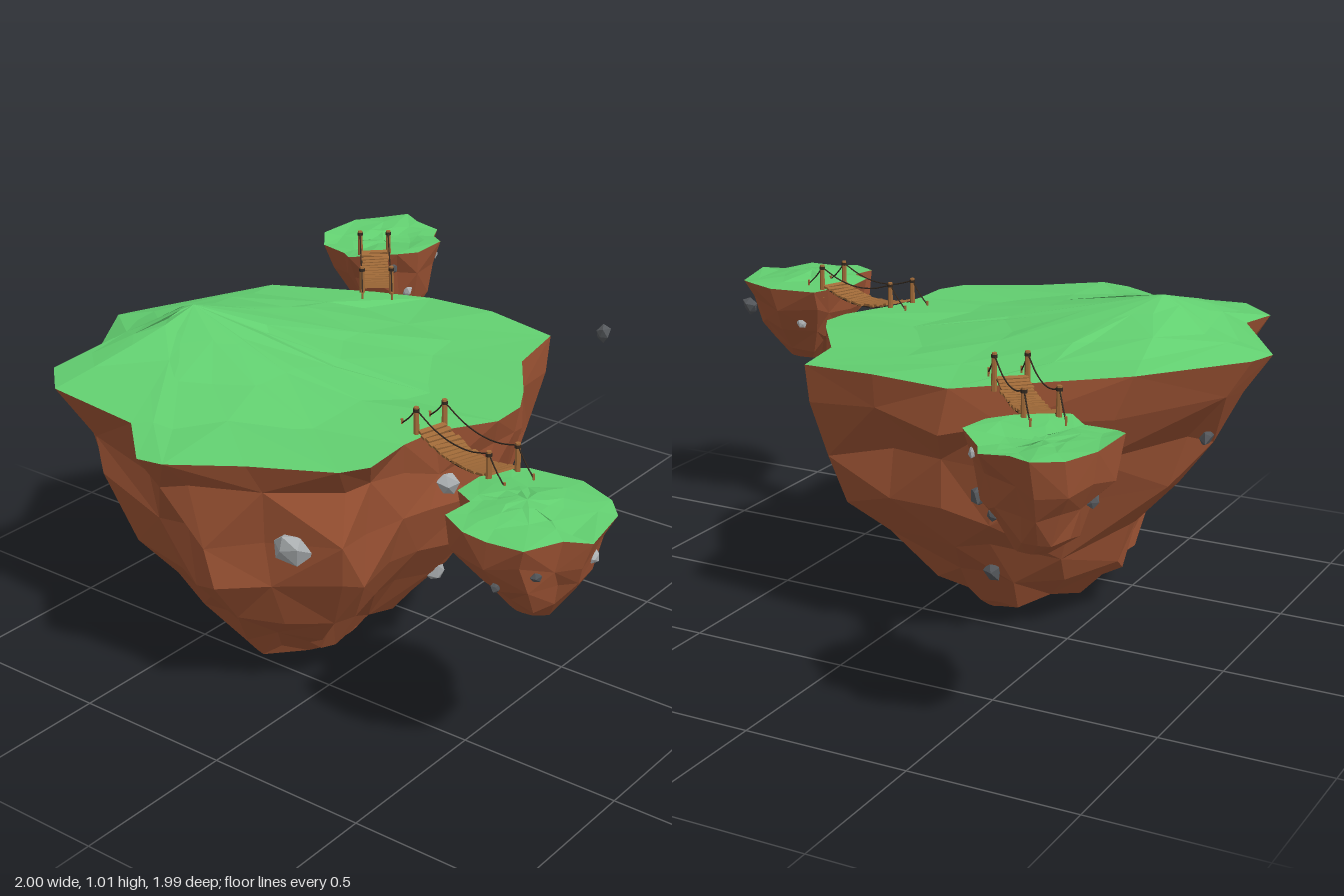
import * as THREE from 'three';

let seed = 7;
const rnd = () => {
  seed = (seed * 16807) % 2147483647;
  return (seed / 2147483647) * 2 - 1; // -1..1
};

const mat = (color, extra = {}) => new THREE.MeshStandardMaterial({ color, flatShading: true, ...extra });
const grassMat = mat(0x62cf70), earthMat = mat(0xa05535);
const lightRock = mat(0xaaaeb0), darkRock = mat(0x55585c);
const woodMat = mat(0xa06a38), ropeMat = mat(0x33281f);

function add(parent, name, geometry, material) {
  const mesh = new THREE.Mesh(geometry, material);
  mesh.name = name;
  parent.add(mesh);
  return mesh;
}

// Skin a list of closed rings, ordered from top to bottom, as separate facets
function loft(rings) {
  const n = rings[0].length, pos = [];
  for (let i = 0; i + 1 < rings.length; i++) {
    const a = rings[i], b = rings[i + 1];
    for (let j = 0; j < n; j++) {
      const k = (j + 1) % n;
      const quad = (i + j) % 2
        ? [a[j], a[k], b[j], a[k], b[k], b[j]]
        : [a[j], a[k], b[k], a[j], b[k], b[j]];
      quad.forEach(p => pos.push(...p));
    }
  }
  const g = new THREE.BufferGeometry();
  g.setAttribute('position', new THREE.Float32BufferAttribute(pos, 3));
  g.computeVertexNormals();
  return g;
}

// Boulder: a dented icosahedron
function boulder(parent, p, size, material) {
  const g = new THREE.IcosahedronGeometry(1, 0);
  const q = g.attributes.position;
  for (let i = 0; i < q.count; i++) {
    const x = q.getX(i), y = q.getY(i), z = q.getZ(i);
    const s = 0.85 + 0.2 * Math.sin(5 * x + 3 * y + 4 * z + size * 90);
    q.setXYZ(i, x * s, y * s, z * s);
  }
  g.computeVertexNormals();
  const m = add(parent, 'boulder', g, material);
  m.position.copy(p);
  m.scale.set(size, size * 1.15, size * 0.8);
  m.rotation.set(rnd(), rnd() * 3, rnd() * 0.5);
  return m;
}

// Island: outline [x, z], peak [x, z], height rule, lower levels [y, xMin, xMax, zMin, zMax],
// boulders [x, y, z, size, material] pushed onto the cliff
function island(name, { outline, peak, height, levels, rough, boulders }) {
  const group = new THREE.Group();
  group.name = name;
  const rim = outline.map(([x, z]) => [x, height(x, z) + rnd() * rough * 0.2, z]);

  // Grass: rim shrunk towards the peak
  const top = [0, 0.22, 0.45, 0.72].map(s => outline.map(([x, z]) => {
    const w = s ? rough * 0.6 : 0;
    const px = peak[0] + (x - peak[0]) * s + rnd() * w;
    const pz = peak[1] + (z - peak[1]) * s + rnd() * w;
    return [px, height(px, pz) + rnd() * w * 0.35, pz];
  }));
  add(group, 'grass', loft([...top, rim]), grassMat);

  // Cliff: rim fitted into each level's box and rounded off with depth
  const xs = outline.map(p => p[0]), zs = outline.map(p => p[1]);
  const box = [Math.min(...xs), Math.max(...xs), Math.min(...zs), Math.max(...zs)];
  const norm = (v, a, b) => (2 * v - a - b) / (b - a);
  const fit = (u, a, b) => (a + b + u * (b - a)) / 2;
  const below = levels.map(([y, x0, x1, z0, z1], i) => {
    const last = i === levels.length - 1;
    const round = 0.75 * (i + 1) / levels.length, r = last ? 0 : rough;
    return outline.map(([x, z]) => {
      const u = norm(x, box[0], box[1]), v = norm(z, box[2], box[3]);
      const k = 1 - round + round / Math.hypot(u, v) + Math.min(0, rnd()) * r * 2.5;
      return [fit(u * k, x0, x1) + rnd() * r * 0.3, y + rnd() * r, fit(v * k, z0, z1) + rnd() * r * 0.3];
    });
  });
  const [y, x0, x1, z0, z1] = levels[levels.length - 1];
  const tip = outline.map(() => [(x0 + x1) / 2, y - rough * 0.35, (z0 + z1) / 2]);
  const cliff = add(group, 'cliff', loft([rim, ...below, tip]), earthMat);

  // Boulders found by a ray from outside to the island's axis
  const cx = (x0 + x1) / 2, cz = (z0 + z1) / 2;
  for (const [bx, by, bz, size, m] of boulders) {
    const dir = new THREE.Vector3(cx - bx, 0, cz - bz).normalize();
    const from = new THREE.Vector3(bx, by, bz).addScaledVector(dir, -1);
    const hit = new THREE.Raycaster(from, dir).intersectObject(cliff)[0];
    boulder(group, hit ? hit.point : new THREE.Vector3(bx, by, bz), size, m);
  }
  return group;
}

// Rope bridge between two [x, z] points
function bridge(name, a, b, deckY, sag, planks) {
  const group = new THREE.Group();
  group.name = name;
  const dx = b[0] - a[0], dz = b[1] - a[1], len = Math.hypot(dx, dz), half = 0.047;
  group.position.set(a[0], deckY, a[1]);
  group.rotation.y = Math.atan2(dx, dz);
  const dip = (t, d) => -4 * d * t * (1 - t);

  for (let i = 0; i < planks; i++) {
    const t = (i + 0.5) / planks;
    const p = add(group, 'plank', new THREE.BoxGeometry(0.092 + rnd() * 0.007, 0.007, len / planks * 0.75), woodMat);
    p.position.set(rnd() * 0.003, dip(t, sag), t * len);
    p.rotation.set(Math.atan(4 * sag * (1 - 2 * t) / len), rnd() * 0.06, rnd() * 0.04);
  }
  const rope = (label, points, r) => add(group, label, new THREE.TubeGeometry(
    new THREE.CatmullRomCurve3(points.map(p => new THREE.Vector3(...p))), 14, r, 5), ropeMat);
  const steps = [0, 0.25, 0.5, 0.75, 1];
  for (const x of [-half, half]) {
    rope('handRope', steps.map(t => [x, 0.062 + dip(t, 0.035), t * len]), 0.0022);
    rope('deckRope', steps.map(t => [x * 0.85, -0.005 + dip(t, sag), t * len]), 0.0025);
    for (const [z, out] of [[0, -1], [len, 1]]) {
      const post = add(group, 'post', new THREE.CylinderGeometry(0.0075, 0.009, 0.11, 7), woodMat);
      post.position.set(x, 0.015, z);
      add(group, 'postBinding', new THREE.CylinderGeometry(0.0095, 0.0095, 0.009, 7), ropeMat).position.set(x, 0.06, z);
      rope('stayRope', [[x, 0.062, z], [x, 0.025, z + out * 0.035], [x, -0.005, z + out * 0.072]], 0.0022);
      const peg = add(group, 'peg', new THREE.CylinderGeometry(0.004, 0.003, 0.025, 5), woodMat);
      peg.position.set(x, -0.005, z + out * 0.072);
    }
  }
  return group;
}

export function createModel() {
  seed = 7;
  const model = new THREE.Group();
  model.name = 'floatingIslands';

  model.add(island('mainIsland', {
    outline: [[-0.32, -0.44], [-0.08, -0.44], [0.165, -0.405], [0.205, -0.19], [0.34, 0], [0.39, 0.09],
      [0.39, 0.2], [0.295, 0.37], [0.28, 0.49], [0.29, 0.65], [0.245, 0.73], [0.02, 0.85], [-0.16, 0.98],
      [-0.25, 0.985], [-0.4, 0.85], [-0.72, 0.83], [-0.84, 0.72], [-0.83, 0.53], [-1, 0.29], [-0.97, 0.2],
      [-0.76, -0.17], [-0.48, -0.35]],
    peak: [-0.635, 0.33],
    height: (x, z) => {
      const dx = x + 0.635, dz = z - 0.33;
      const t = Math.max(0, 1 - Math.hypot(dx / (dx < 0 ? 0.34 : 0.75), dz / 0.65));
      return 0.87 - 0.015 * x - 0.01 * z + 0.138 * t ** 1.3;
    },
    levels: [
      [0.75, -0.93, 0.375, -0.43, 0.93], [0.6, -0.83, 0.335, -0.38, 0.92], [0.45, -0.73, 0.28, -0.32, 0.86],
      [0.3, -0.62, 0.17, -0.21, 0.74], [0.17, -0.57, 0.04, -0.1, 0.63], [0.08, -0.46, -0.07, 0, 0.55],
      [0.012, -0.27, -0.13, 0.1, 0.42]],
    rough: 0.034,
    boulders: [[0.09, 0.59, 0.77, 0.066, lightRock], [0.28, 0.68, 0.31, 0.046, lightRock],
      [0.25, 0.5, -0.06, 0.036, darkRock], [0.15, 0.3, 0.18, 0.042, lightRock],
      [-0.65, 0.43, 0.55, 0.042, darkRock], [-0.82, 0.62, 0.25, 0.036, darkRock],
      [-0.35, 0.52, -0.3, 0.036, darkRock], [-0.3, 0.22, -0.1, 0.036, darkRock]],
  }));

  model.add(island('rightIslet', {
    outline: [[0.63, 0.4], [0.79, 0.38], [0.91, 0.43], [0.96, 0.48], [1, 0.66], [0.93, 0.69], [0.885, 0.8],
      [0.78, 0.81], [0.71, 0.815], [0.62, 0.765], [0.63, 0.67], [0.565, 0.635], [0.56, 0.53], [0.6, 0.44]],
    peak: [0.76, 0.6],
    height: (x, z) => 0.865 - 0.03 * (x - 0.6) + 0.025 * Math.max(0, 1 - Math.hypot(x - 0.76, z - 0.6) / 0.2),
    levels: [[0.78, 0.57, 0.97, 0.41, 0.8], [0.71, 0.61, 0.95, 0.45, 0.75], [0.64, 0.66, 0.91, 0.51, 0.7],
      [0.583, 0.72, 0.85, 0.56, 0.65]],
    rough: 0.022,
    boulders: [[0.78, 0.71, 0.78, 0.017, darkRock], [0.9, 0.755, 0.76, 0.018, darkRock],
      [0.97, 0.76, 0.55, 0.02, lightRock], [0.7, 0.74, 0.43, 0.018, lightRock]],
  }));

  model.add(island('backIslet', {
    outline: [[-0.84, -1], [-0.77, -0.965], [-0.68, -0.96], [-0.65, -0.9], [-0.57, -0.83], [-0.575, -0.71],
      [-0.62, -0.65], [-0.69, -0.58], [-0.745, -0.545], [-0.8, -0.59], [-0.9, -0.605], [-0.95, -0.67],
      [-0.95, -0.84], [-0.905, -0.935]],
    peak: [-0.77, -0.77],
    height: (x, z) => 0.892 - 0.015 * (z + 0.77) + 0.008 * Math.sin(18 * x + 9 * z),
    levels: [[0.8, -0.94, -0.59, -0.96, -0.59], [0.72, -0.9, -0.62, -0.92, -0.64], [0.655, -0.87, -0.65, -0.88, -0.69],
      [0.6, -0.81, -0.7, -0.84, -0.74]],
    rough: 0.022,
    boulders: [[-0.62, 0.84, -0.62, 0.022, darkRock], [-0.62, 0.745, -0.71, 0.02, lightRock],
      [-0.64, 0.68, -0.82, 0.017, darkRock], [-0.6, 0.85, -0.85, 0.018, lightRock],
      [-0.9, 0.74, -0.75, 0.02, darkRock]],
  }));

  model.add(bridge('rightBridge', [0.28, 0.37], [0.605, 0.485], 0.877, 0.03, 17));
  model.add(bridge('backBridge', [-0.467, -0.345], [-0.69, -0.617], 0.905, 0.025, 18));

  // Loose rock drifting beside the main island
  boulder(model, new THREE.Vector3(0.433, 0.982, -0.275), 0.026, darkRock).name = 'floatingRock';
  return model;
}
